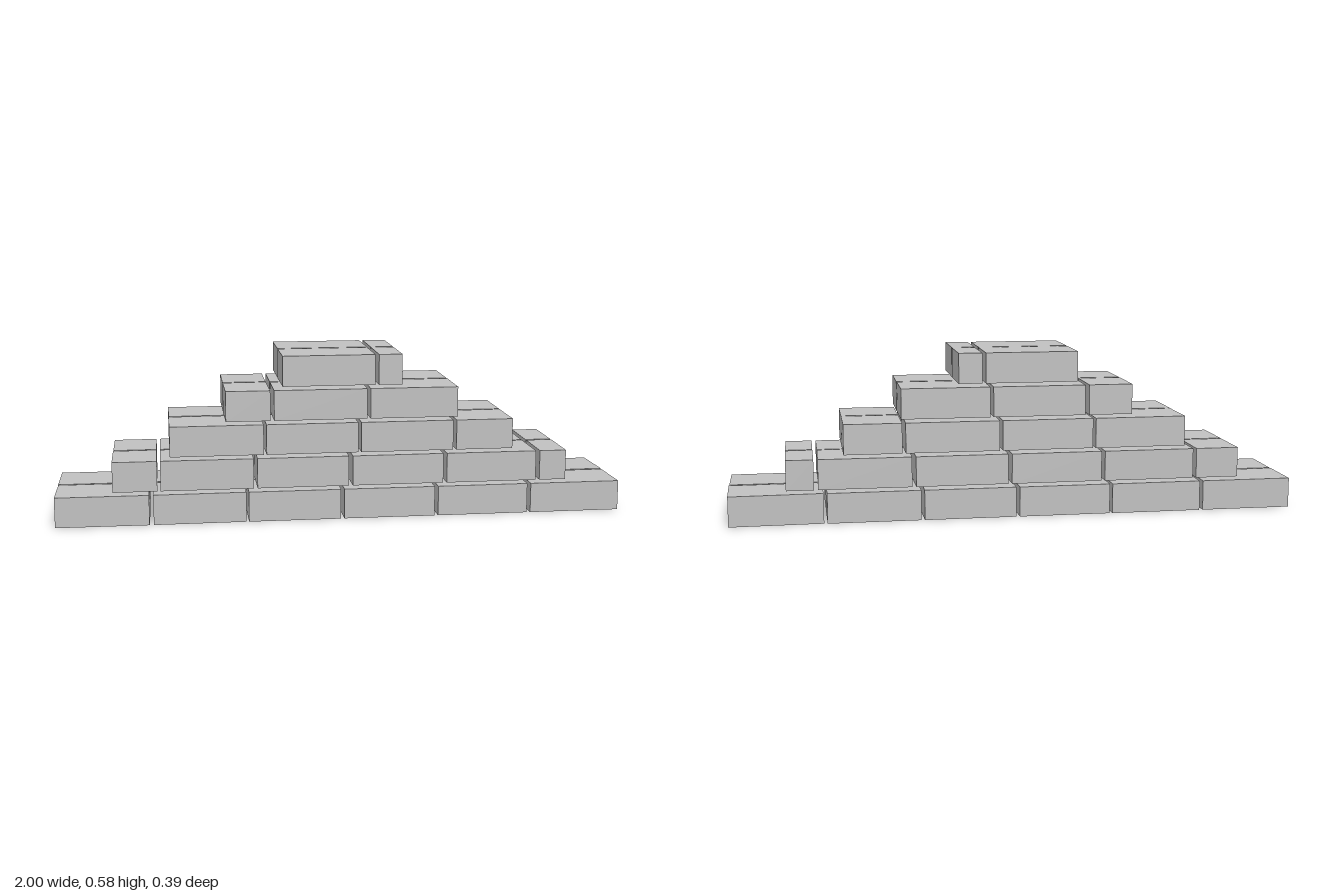
import * as THREE from 'three';

// Brick spans [left, right] along x for each course, bottom to top
const COURSES = [
  [[-1, -0.678], [-0.665, -0.344], [-0.334, -0.01], [0.002, 0.325], [0.337, 0.661], [0.674, 0.998]],
  [[-0.803, -0.65], [-0.638, -0.316], [-0.303, 0.018], [0.031, 0.354], [0.367, 0.69], [0.705, 0.8]],
  [[-0.605, -0.281], [-0.271, 0.05], [0.061, 0.388], [0.4, 0.602]],
  [[-0.411, -0.257], [-0.243, 0.082], [0.094, 0.403]],
  [[-0.214, 0.109], [0.122, 0.204]],
];
const HEIGHT = 0.106, PITCH = 0.1187, DEPTH = 0.189;

export function createModel() {
  const model = new THREE.Group();
  model.name = 'steppedBrickWall';
  const stone = new THREE.MeshStandardMaterial({ color: 0xc0c0c0 });
  stone.name = 'light grey stone';

  // Small repeatable offsets so the bricks look hand-laid
  let seed = 7;
  const jitter = (amount) => {
    seed = (seed * 16807) % 2147483647;
    return (seed / 2147483647 * 2 - 1) * amount;
  };

  COURSES.forEach((spans, level) => {
    const course = new THREE.Group();
    course.name = `course${level + 1}`;
    course.position.y = level * PITCH + HEIGHT / 2;
    model.add(course);

    // Two parallel rows, front and back, with the same joints
    for (const side of [1, -1]) {
      spans.forEach(([left, right], i) => {
        const brick = new THREE.Mesh(new THREE.BoxGeometry(right - left, HEIGHT, DEPTH), stone);
        brick.name = `${side > 0 ? 'front' : 'back'}Brick${i + 1}`;
        brick.position.set((left + right) / 2, 0, side * 0.0993);
        brick.rotation.y = jitter(0.008);
        course.add(brick);
      });
    }
  });

  // The outermost back brick of the base sits visibly askew
  model.children[0].getObjectByName('backBrick6').rotation.y = 0.018;
  return model;
}
